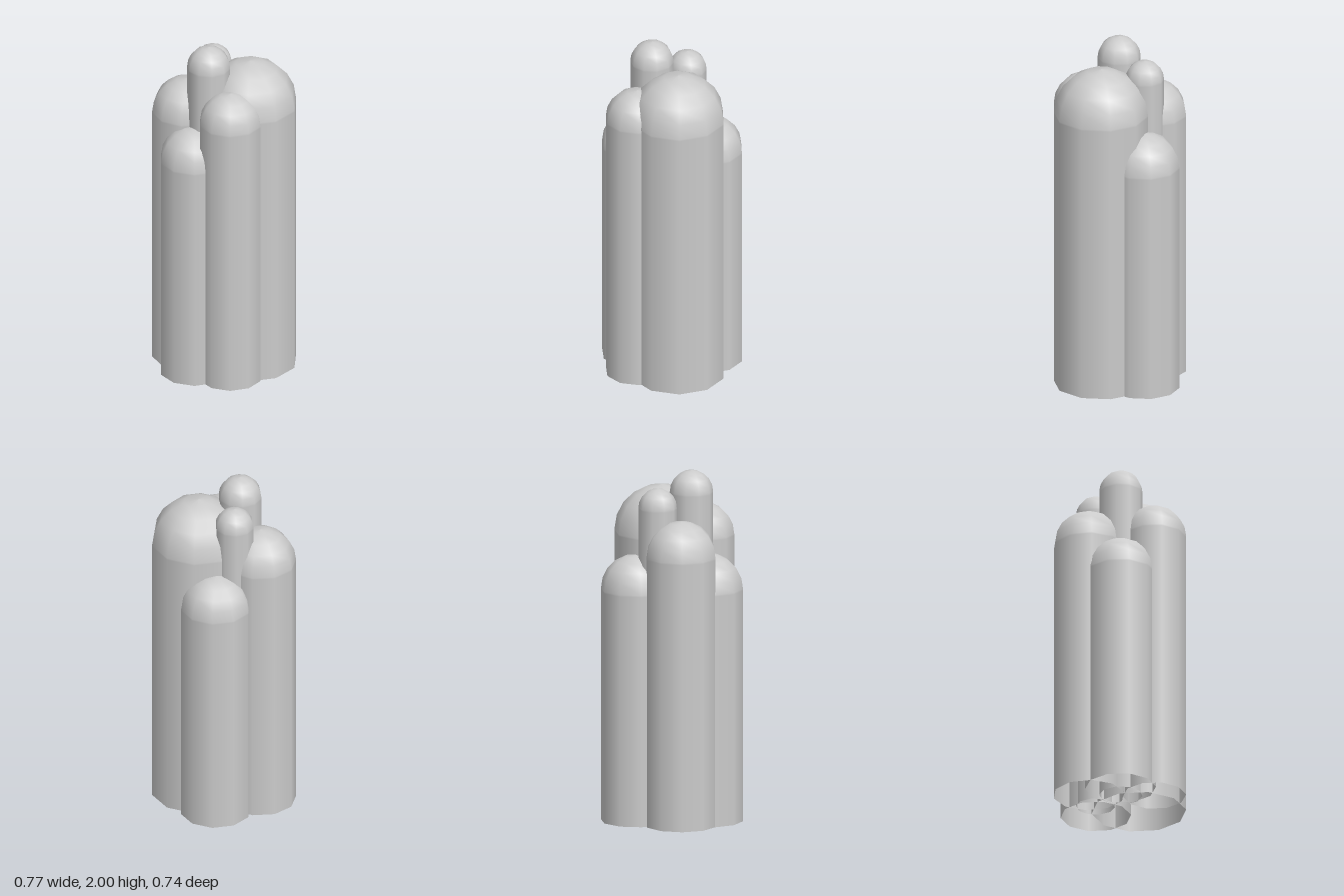
import * as THREE from 'three';

const SIDES = 10;
const RINGS = 5;

// name, centre x, centre z, radius, top height, angle of one corner (degrees, from +x towards +z)
const COLUMNS = [
  ['mainColumn', 0.125, 0.10, 0.267, 1.885, 23],
  ['tallestColumn', -0.095, 0.005, 0.122, 2.0, 11],
  ['slimColumn', 0.05, -0.142, 0.109, 1.91, 12],
  ['frontColumn', -0.088, 0.193, 0.178, 1.78, 20.5],
  ['backColumn', -0.104, -0.175, 0.202, 1.74, 30],
  ['leftBackColumn', 0.181, -0.143, 0.199, 1.525, 23],
  ['rightColumn', -0.194, 0.005, 0.199, 1.53, 20.5],
];

// Ten-sided shaft with a rounded top, open underneath
function columnGeometry(radius, top, corner) {
  const base = top - radius;
  const profile = [new THREE.Vector2(radius, 0), new THREE.Vector2(radius, base - 0.01)];
  for (let i = 0; i <= RINGS; i++) {
    const a = (i / RINGS) * Math.PI / 2;
    const r = i === RINGS ? 0 : radius * Math.cos(a);
    profile.push(new THREE.Vector2(r, base + radius * Math.sin(a)));
  }
  return new THREE.LatheGeometry(profile, SIDES, THREE.MathUtils.degToRad(90 - corner));
}

export function createModel() {
  const group = new THREE.Group();
  group.name = 'columnCluster';
  const material = new THREE.MeshStandardMaterial({ color: 0xcccccc, side: THREE.DoubleSide });

  for (const [name, x, z, radius, top, corner] of COLUMNS) {
    const column = new THREE.Mesh(columnGeometry(radius, top, corner), material);
    column.name = name;
    column.position.set(x, 0, z);
    group.add(column);
  }
  return group;
}
